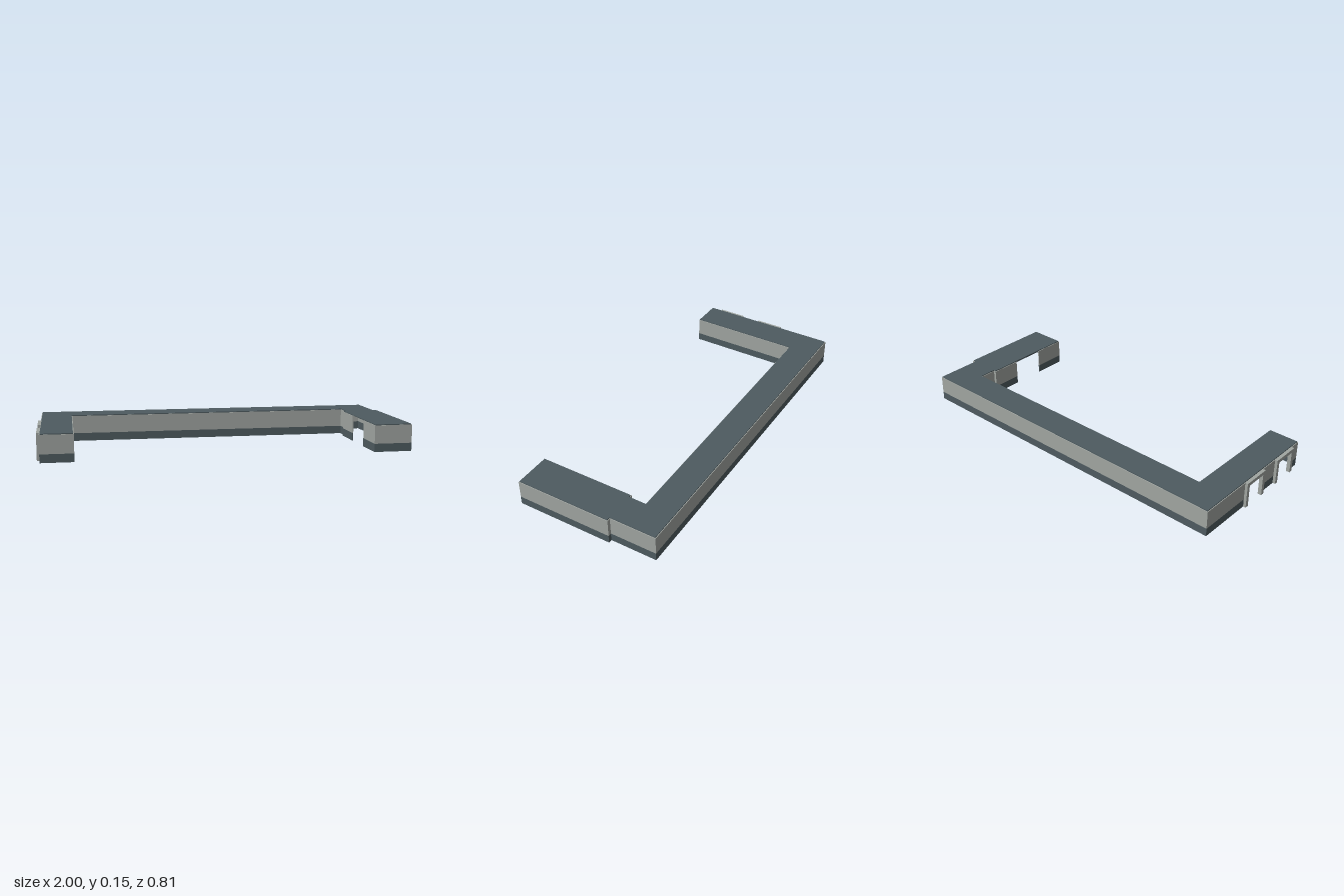
import * as THREE from 'three';

const T = 0.006;        // wall thickness
const BASE = 0.045;     // height of the dark plinth
const TOP = 0.145;      // top of the walls
const ROOF = 0.15;

export function createModel() {
  const group = new THREE.Group();
  const wallMat = new THREE.MeshStandardMaterial({ color: 0xa0a5a1 });
  wallMat.name = 'wall grey';
  const darkMat = new THREE.MeshStandardMaterial({ color: 0x4e5b60 });
  darkMat.name = 'dark slate';

  function box(name, mat, parent, x0, x1, y0, y1, z0, z1) {
    const m = new THREE.Mesh(new THREE.BoxGeometry(x1 - x0, y1 - y0, z1 - z0), mat);
    m.position.set((x0 + x1) / 2, (y0 + y1) / 2, (z0 + z1) / 2);
    m.name = name;
    parent.add(m);
  }

  // A thin wall with a plinth band, given by its outer plan rectangle
  function wall(name, x0, x1, z0, z1) {
    const g = new THREE.Group();
    g.name = name;
    box('plinth', darkMat, g, x0, x1, 0, BASE, z0, z1);
    box('wallFace', wallMat, g, x0, x1, BASE, TOP, z0, z1);
    group.add(g);
  }

  // Plan lines of the U-shaped block
  const L = -0.985, LI = -0.81, RI = 0.805, R = 0.98;
  const WI = 0.79, W = 1.0;            // wider right wing
  const B = -0.403, BI = -0.235, F = 0.403, J = -0.143;

  // Back block
  wall('backWall', L, R, B, B + T);
  wall('courtyardBackWall', LI - T, RI + T, BI - T, BI);

  // Left wing with two doorways in the outer wall
  const doors = [[-0.09, 0.07], [0.18, 0.34]];
  wall('leftInnerWall', LI - T, LI, BI, F - T);
  wall('leftFrontWall', L, LI, F - T, F);
  let start = B + T;
  for (const [a, b] of doors) {
    wall('leftOuterWall', L, L + T, start, a);
    start = b;
  }
  wall('leftOuterWall', L, L + T, start, F - T);

  // Projecting door frames
  for (const [a, b] of doors) {
    const g = new THREE.Group();
    g.name = 'doorFrame';
    const p = 0.02;
    box('post', wallMat, g, -1, L + T, 0, TOP - p, a, a + p);
    box('post', wallMat, g, -1, L + T, 0, TOP - p, b - p, b);
    box('lintel', wallMat, g, -1, L + T, TOP - p, TOP, a, b);
    group.add(g);
  }

  // Right wing, stepped outwards, open along part of its courtyard side
  wall('rightRearOuterWall', R - T, R, B + T, J);
  wall('rightRearInnerWall', RI, RI + T, BI, J);
  wall('rightOuterStep', R - T, W - T, J, J + T);
  wall('rightInnerStep', WI + T, RI + T, J, J + T);
  wall('rightOuterWall', W - T, W, J, F - T);
  wall('rightInnerWall', WI, WI + T, J, 0.03);
  wall('rightInnerWall', WI, WI + T, 0.22, F - T);
  wall('rightFrontWall', WI, W, F - T, F);

  // Flat roof slab, slightly set back from the wall faces
  const d = 0.004;
  const plan = [
    [L + d, F - d], [LI - d, F - d], [LI - d, BI - d], [RI + d, BI - d],
    [RI + d, J + d], [WI + d, J + d], [WI + d, F - d], [W - d, F - d],
    [W - d, J + d], [R - d, J + d], [R - d, B + d], [L + d, B + d],
  ];
  const shape = new THREE.Shape(plan.map(([x, z]) => new THREE.Vector2(x, -z)));
  const geo = new THREE.ExtrudeGeometry(shape, { depth: ROOF - TOP, bevelEnabled: false });
  geo.rotateX(-Math.PI / 2);
  const roof = new THREE.Mesh(geo, darkMat);
  roof.position.y = TOP;
  roof.name = 'roof';
  group.add(roof);

  return group;
}
